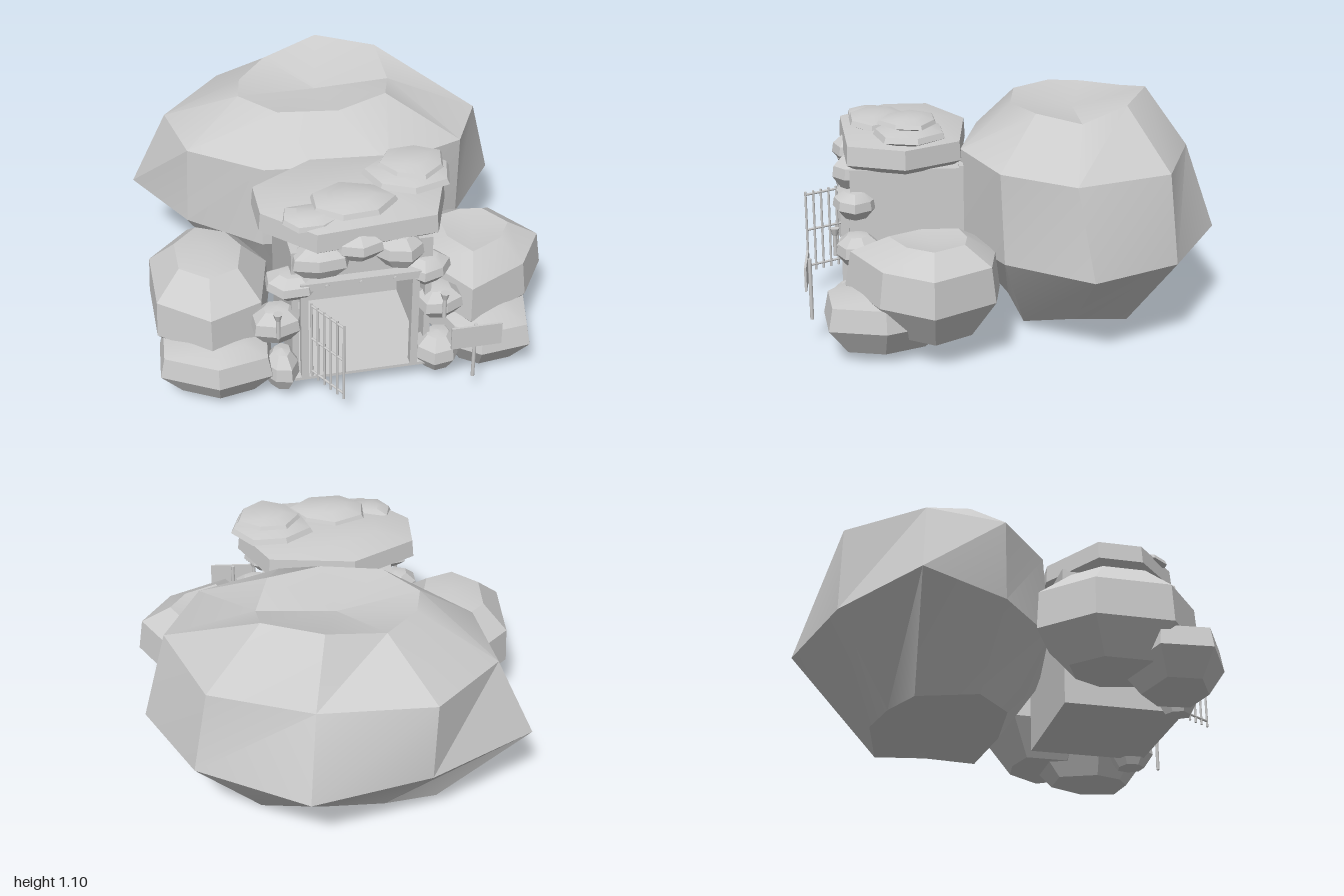
import * as THREE from 'three';
import { toCreasedNormals } from 'three/addons/utils/BufferGeometryUtils.js';

const stone = new THREE.MeshStandardMaterial({ color: 0xcccccc });
stone.name = 'pale grey';

// Closed faceted solid from rings of [x, y, z] (bottom to top), capped by two centre points
function ringSolid(rings, bottom, top) {
  const n = rings[0].length;
  const pos = [...bottom, ...rings.flat(2), ...top];
  const last = pos.length / 3 - 1;
  const at = (r, i) => 1 + r * n + (i % n);
  const index = [];
  for (let i = 0; i < n; i++) {
    index.push(0, at(0, i + 1), at(0, i));
    for (let r = 0; r < rings.length - 1; r++) {
      index.push(at(r, i), at(r, i + 1), at(r + 1, i + 1));
      index.push(at(r, i), at(r + 1, i + 1), at(r + 1, i));
    }
    index.push(at(rings.length - 1, i), at(rings.length - 1, i + 1), last);
  }
  const geo = new THREE.BufferGeometry();
  geo.setAttribute('position', new THREE.Float32BufferAttribute(pos, 3));
  geo.setIndex(index);
  return toCreasedNormals(geo, 0.4);
}

// Rock from a plan outline of [x, z] and levels of [y, scale]; first and last level are points
function outlineRock(outline, levels) {
  const n = outline.length;
  const cx = outline.reduce((s, p) => s + p[0], 0) / n;
  const cz = outline.reduce((s, p) => s + p[1], 0) / n;
  const angle = (p) => Math.atan2(p[1] - cz, p[0] - cx);
  const plan = [...outline].sort((a, b) => angle(b) - angle(a));
  const rings = levels.slice(1, -1).map(([y, s]) =>
    plan.map(([x, z]) => [cx + (x - cx) * s, y, cz + (z - cz) * s]));
  return ringSolid(rings, [cx, levels[0][0], cz], [cx, levels.at(-1)[0], cz]);
}

// Small irregular rock filling the box x0..x1, y0..y1, z0..z1
function smallRock([x0, x1, y0, y1, z0, z1], seed) {
  const n = 7, h = y1 - y0;
  const outline = [];
  for (let i = 0; i < n; i++) {
    const a = (i / n) * Math.PI * 2 + seed * 0.7;
    const r = 1 + 0.08 * Math.sin(i * 2.4 + seed);
    outline.push([(x0 + x1) / 2 + Math.cos(a) * r * (x1 - x0) / 2,
      (z0 + z1) / 2 + Math.sin(a) * r * (z1 - z0) / 2]);
  }
  return outlineRock(outline, [[y0 + 0.03 * h, 0], [y0, 0.6], [y0 + 0.36 * h, 1],
    [y0 + 0.68 * h, 0.93], [y0 + 0.94 * h, 0.5], [y1, 0]]);
}

export function createModel() {
  const model = new THREE.Group();
  const add = (name, geo, parent = model) => {
    const mesh = new THREE.Mesh(geo, stone);
    mesh.name = name;
    parent.add(mesh);
    return mesh;
  };
  const box = (name, x0, x1, y0, y1, z0, z1, parent) =>
    add(name, new THREE.BoxGeometry(x1 - x0, y1 - y0, z1 - z0), parent)
      .position.set((x0 + x1) / 2, (y0 + y1) / 2, (z0 + z1) / 2);
  const rod = (name, a, b, r, parent) => {
    const from = new THREE.Vector3(...a), to = new THREE.Vector3(...b);
    const m = add(name, new THREE.CylinderGeometry(r, r, from.distanceTo(to), 8), parent);
    m.position.copy(from).add(to).multiplyScalar(0.5);
    m.quaternion.setFromUnitVectors(new THREE.Vector3(0, 1, 0), to.sub(from).normalize());
  };

  // Great boulder behind the cave
  add('backBoulder', ringSolid([
    [[.35, .03, -.05], [.46, .08, -.28], [.34, .02, -.55], [.05, .06, -.62], [-.25, .03, -.58],
      [-.51, 0, -.5], [-.48, .05, -.2], [-.25, .07, -.02], [.03, .05, 0]],
    [[.61, .42, .06], [.88, .42, -.32], [.64, .41, -.73], [.12, .41, -1], [-.44, .42, -.85],
      [-.94, .42, -.55], [-.71, .42, -.13], [-.38, .42, .15], [.22, .42, .25]],
    [[.61, .85, .08], [.77, .83, -.25], [.57, .82, -.7], [.09, .82, -.86], [-.45, .82, -.84],
      [-.76, .81, -.51], [-.69, .82, -.13], [-.36, .83, .13], [.22, .86, .24]],
    [[.28, 1.04, -.11], [.34, 1, -.32], [.32, 1.08, -.53], [.04, 1.1, -.66], [-.24, 1.04, -.58],
      [-.39, 1.03, -.4], [-.42, 1.03, -.24], [-.26, 1.03, -.05], [.03, 1.03, -.01]],
  ], [-.03, .115, -.32], [-.03, .985, -.32]));

  // Side boulders and the lower rocks in front of them
  add('rightBoulder', outlineRock(
    [[-.73, 0], [-.49, .12], [-.385, .34], [-.46, .66], [-.71, .76], [-.94, .57], [-.94, .21]],
    [[.13, 0], [.13, .6], [.28, 1], [.46, .97], [.58, .55], [.61, 0]]));
  add('leftBoulder', outlineRock(
    [[.32, .15], [.56, .08], [.77, .11], [.95, .39], [.8, .63], [.49, .79], [.32, .5]],
    [[.12, 0], [.12, .6], [.3, 1], [.465, .93], [.55, .5], [.53, 0]]));
  add('rightLowRock', outlineRock(
    [[-.95, .74], [-.7, .88], [-.45, .83], [-.42, .6], [-.6, .42], [-.93, .5]],
    [[.07, 0], [.055, .65], [.17, 1], [.27, .92], [.3, .5], [.31, 0]]));
  add('leftLowRock', outlineRock(
    [[.4, .8], [.52, .89], [.76, .86], [.82, .6], [.7, .32], [.45, .32], [.34, .6]],
    [[.06, 0], [.05, .65], [.18, 1], [.285, .92], [.31, .5], [.32, 0]]));

  // Room inside the cave
  const room = new THREE.Group();
  room.name = 'room';
  model.add(room);
  box('floor', -.345, .3, .105, .12, .23, .81, room);
  box('backWall', -.345, .3, .12, .8, .23, .25, room);
  box('rightWall', -.345, -.315, .12, .78, .25, .76, room);
  box('leftWall', .27, .3, .12, .78, .25, .76, room);
  box('ceiling', -.345, .3, .76, .79, .23, .76, room);
  box('upperFrontWall', -.315, .27, .66, .76, .72, .76, room);

  // Roof slab
  add('roofSlab', outlineRock(
    [[-.46, .38], [-.155, .2], [.27, .24], [.42, .5], [.32, .77], [-.24, .82], [-.46, .6]],
    [[.78, 0], [.78, .84], [.82, 1], [.91, .98], [.94, .55], [.945, 0]]));

  // Small rocks on the roof and around the doorway: x, y and z ranges
  const rocks = {
    roofRock: [[.05, .45, .92, 1, .3, .65], [.11, .42, .99, 1.045, .34, .62],
      [-.38, -.1, .88, .95, .57, .79], [-.25, .15, .91, .985, .49, .78]],
    lintelRock: [[-.36, -.07, .67, .83, .66, .85], [-.17, .08, .74, .875, .66, .85],
      [.03, .27, .67, .83, .66, .84]],
    shoulderRock: [[-.47, -.2, .56, .68, .63, .84], [.16, .39, .56, .69, .63, .84]],
    doorsideRock: [[-.54, -.28, .33, .5, .64, .84], [.23, .46, .35, .5, .62, .84]],
    footRock: [[-.48, -.31, .07, .27, .66, .86], [.23, .45, .07, .26, .65, .87]],
  };
  let seed = 1;
  for (const [name, list] of Object.entries(rocks))
    for (const range of list) add(name, smallRock(range, seed++));

  // Door frame with bolts
  const frame = new THREE.Group();
  frame.name = 'doorFrame';
  model.add(frame);
  for (const x of [-.295, .215]) box('doorPost', x - .017, x + .017, .11, .65, .77, .81, frame);
  box('lintel', -.315, .235, .615, .655, .775, .82, frame);
  for (const x of [-.195, -.04, .115]) rod('bolt', [x, .635, .815], [x, .635, .828], .01, frame);

  // Barred gate, swung open
  const gate = new THREE.Group();
  gate.name = 'gate';
  model.add(gate);
  const gx = (t) => -.265 + .11 * t, gz = (t) => .81 + .185 * t;
  for (let i = 0; i < 6; i++) {
    const t = i / 5;
    rod('gateBar', [gx(t), .125, gz(t)], [gx(t), .545, gz(t)], .006, gate);
  }
  for (const y of [.155, .345, .53])
    rod('gateRail', [gx(0), y, gz(0)], [gx(1), y, gz(1)], .006, gate);

  // Signpost with a blank board
  rod('signPost', [.46, .12, .95], [.46, .42, .95], .009);
  box('signBoard', .345, .58, .305, .42, .96, .97);

  // Torches either side of the door
  for (const x of [-.42, .345]) {
    const torch = new THREE.Group();
    torch.name = 'torch';
    torch.position.set(x, 0, .835);
    model.add(torch);
    rod('torchHandle', [0, .39, 0], [0, .5, 0], .01, torch);
    add('torchCup', new THREE.CylinderGeometry(.022, .012, .035, 8), torch).position.y = .508;
    rod('torchBracket', [0, .44, 0], [0, .44, -.06], .008, torch);
  }
  return model;
}
